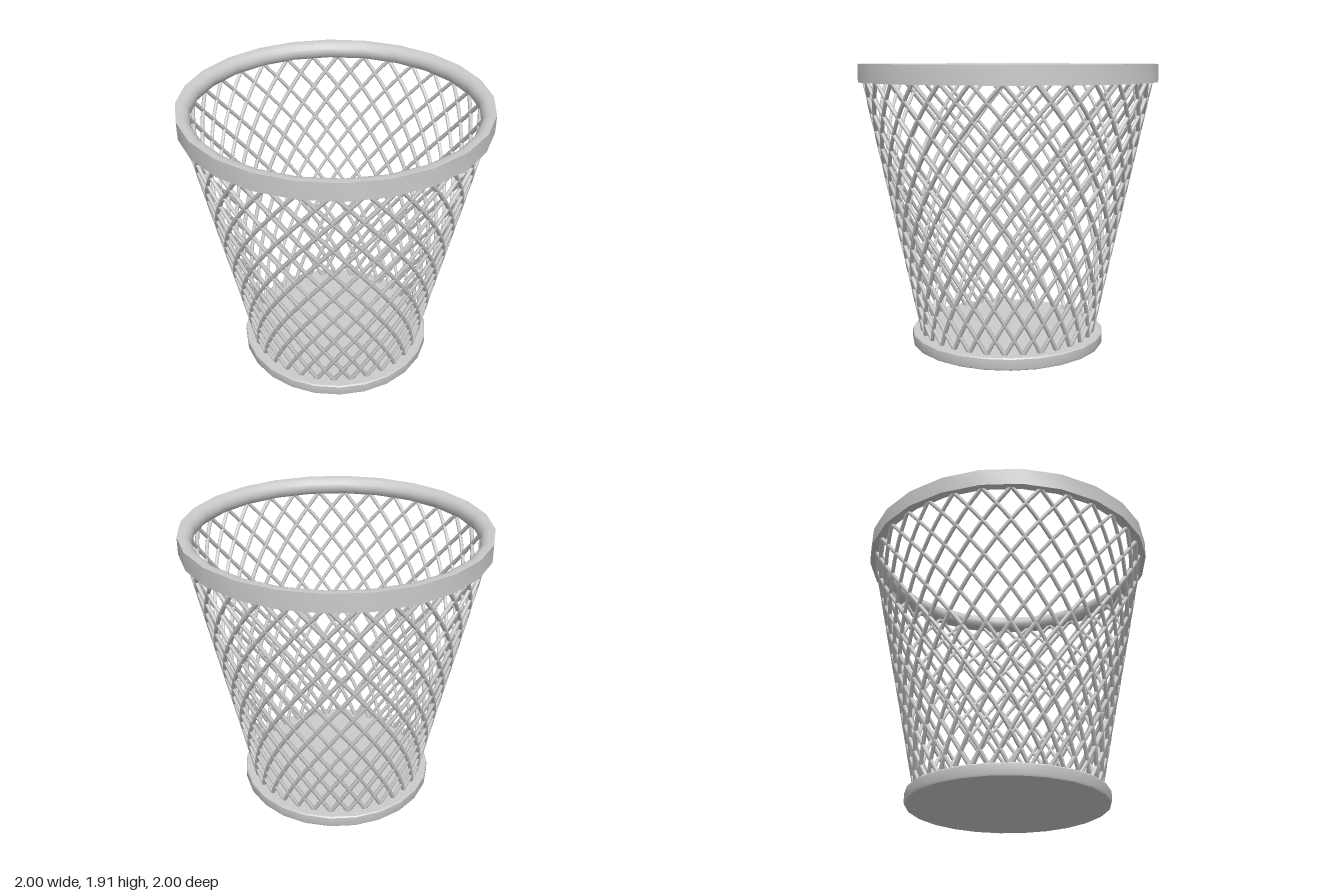
import * as THREE from 'three';
import { toCreasedNormals } from 'three/addons/utils/BufferGeometryUtils.js';

const SIDES = 24;
const WIRES = 32; // wires in each winding direction
const material = new THREE.MeshStandardMaterial({ color: 0xcccccc });

// Turned part from [radius, height] pairs, sharp only at real corners
function turned(name, profile) {
  const points = profile.map(([r, y]) => new THREE.Vector2(r, y));
  const geometry = toCreasedNormals(new THREE.LatheGeometry(points, SIDES), 0.7);
  const mesh = new THREE.Mesh(geometry, material);
  mesh.name = name;
  return mesh;
}

// Wire climbing the cone through a quarter turn
function wireGeometry(direction) {
  const points = [];
  const steps = 16;
  for (let i = 0; i <= steps; i++) {
    const t = i / steps;
    const angle = direction * t * Math.PI / 2;
    const r = 0.595 + 0.36 * t;
    points.push(new THREE.Vector3(r * Math.sin(angle), 0.08 + 1.73 * t, r * Math.cos(angle)));
  }
  return new THREE.TubeGeometry(new THREE.CatmullRomCurve3(points), 20, 0.0135, 6);
}

export function createModel() {
  const basket = new THREE.Group();
  basket.name = 'wasteBasket';

  // Solid round base with softened lower edge
  basket.add(turned('base', [
    [0, 0], [0.65, 0], [0.662, 0.006], [0.667, 0.018],
    [0.667, 0.078], [0.66, 0.086], [0, 0.086],
  ]));

  // Rim: flat band outside, rounded inside
  basket.add(turned('rim', [
    [0.955, 1.798], [1, 1.798], [1, 1.915], [0.96, 1.915], [0.935, 1.905],
    [0.917, 1.883], [0.912, 1.857], [0.917, 1.83], [0.935, 1.808], [0.955, 1.798],
  ]));

  // Lattice of two crossing sets of wires
  const lattice = new THREE.Group();
  lattice.name = 'wireLattice';
  for (const direction of [1, -1]) {
    const geometry = wireGeometry(direction);
    for (let i = 0; i < WIRES; i++) {
      const wire = new THREE.Mesh(geometry, material);
      wire.name = direction > 0 ? 'leftWoundWire' : 'rightWoundWire';
      wire.rotation.y = (i / WIRES) * Math.PI * 2;
      lattice.add(wire);
    }
  }
  basket.add(lattice);

  return basket;
}
